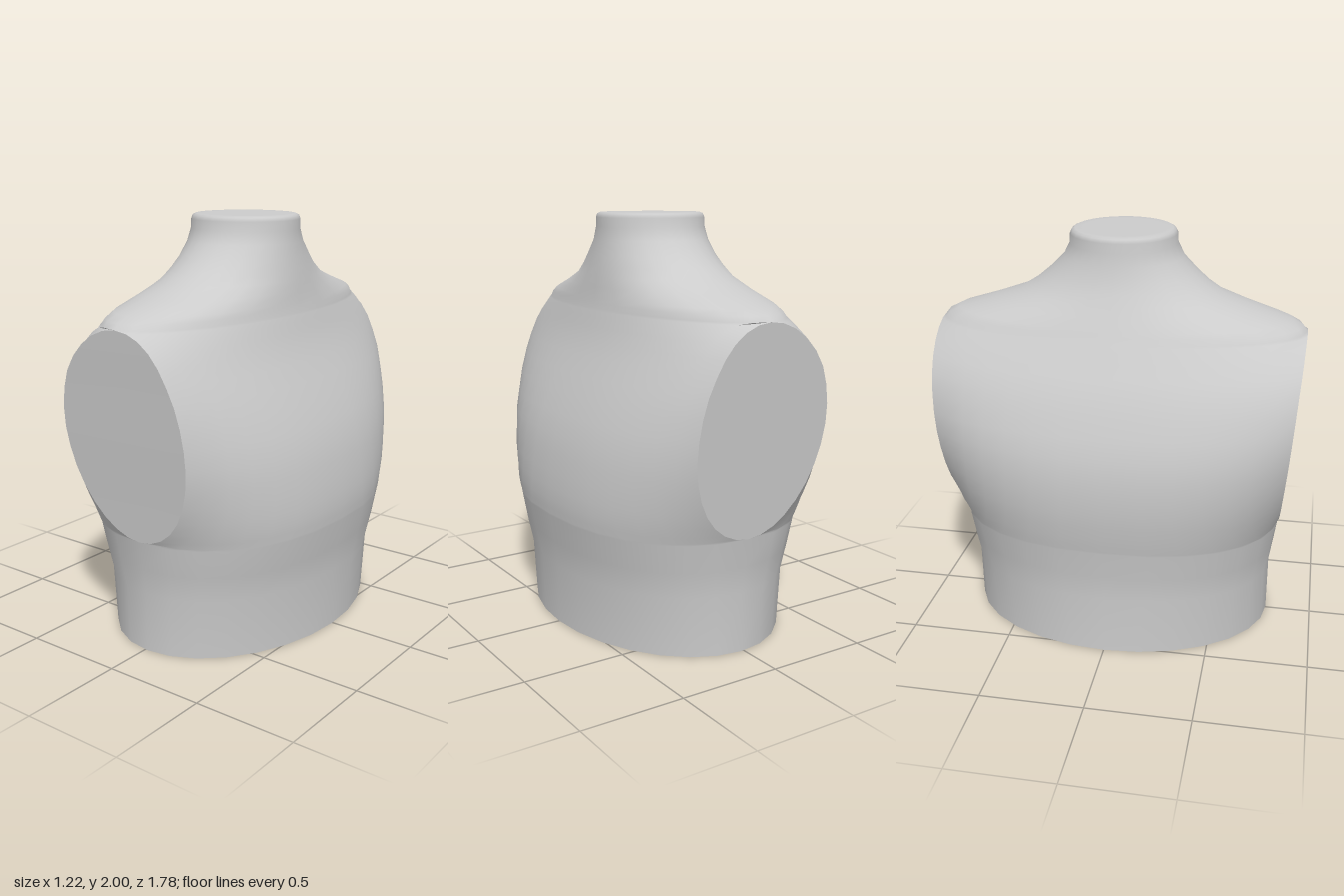
import * as THREE from 'three';
import { mergeVertices } from 'three/addons/utils/BufferGeometryUtils.js';

// Body profile: [y, xMin, xMax, half depth in z]
const PROFILE = [
  [0, -0.54, 0.565, 0.77], [0.29, -0.535, 0.565, 0.77], [0.42, -0.55, 0.585, 0.79],
  [0.56, -0.57, 0.605, 0.81], [0.66, -0.59, 0.61, 0.818], [0.8, -0.61, 0.597, 0.829],
  [0.95, -0.612, 0.57, 0.842], [1.1, -0.592, 0.52, 0.854], [1.33, -0.51, 0.42, 0.872],
  [1.42, -0.462, 0.385, 0.88], [1.55, -0.395, 0.35, 0.89], [1.575, -0.382, 0.345, 0.87],
  [1.6, -0.37, 0.34, 0.82], [1.65, -0.345, 0.333, 0.65], [1.7, -0.32, 0.327, 0.5],
  [1.75, -0.297, 0.318, 0.42], [1.8, -0.275, 0.31, 0.36], [1.87, -0.257, 0.297, 0.29],
  [1.93, -0.247, 0.29, 0.26], [1.975, -0.245, 0.29, 0.257], [1.993, -0.24, 0.285, 0.248],
  [2, -0.225, 0.27, 0.234], [2, -0.19, 0.235, 0.2], [2, 0.021, 0.023, 0.001],
];

// Flat arm openings
const ARM = { y: 1.055, ry: 0.495, rx: 0.355, steps: 16 };
const STEPS = 14; // segments along each side of a ring

function sample(y) {
  let i = 0;
  while (i < PROFILE.length - 2 && PROFILE[i + 1][0] < y) i++;
  const a = PROFILE[i], b = PROFILE[i + 1];
  const t = (y - a[0]) / (b[0] - a[0]);
  return a.map((v, k) => THREE.MathUtils.lerp(v, b[k], t));
}

// Every ring from hem to neck, with extra rings across the arm openings
function makeRings() {
  const armRows = [];
  for (let k = 0; k <= ARM.steps; k++) {
    const a = (k / ARM.steps) * Math.PI;
    const row = sample(ARM.y - ARM.ry * Math.cos(a));
    row.push(k === 0 || k === ARM.steps ? 0 : ARM.rx * Math.sin(a));
    armRows.push(row);
  }
  const low = PROFILE.filter(r => r[0] < ARM.y - ARM.ry - 0.001);
  const high = PROFILE.filter(r => r[0] > ARM.y + ARM.ry + 0.001);
  const toRing = ([y, x0, x1, z, w = 0]) => ({ y, cx: (x0 + x1) / 2, h: (x1 - x0) / 2, z, w });
  return { all: [...low, ...armRows, ...high].map(toRing), arm: armRows.map(toRing) };
}

function geometryFrom(positions, index) {
  const g = new THREE.BufferGeometry();
  g.setAttribute('position', new THREE.Float32BufferAttribute(positions, 3));
  g.setIndex(index);
  return g;
}

// Rounded sections, cut off where they meet the arm openings
function makeShell(rings) {
  const positions = [], index = [];
  const n = 2 * (STEPS + 1);
  rings.forEach(({ y, cx, h, z, w }) => {
    const p = 2 + 0.35 * (1 - THREE.MathUtils.smoothstep(y, 1.1, 1.6))
      * THREE.MathUtils.smoothstep(y, 0, 0.6);
    const ratio = Math.min(w / h, 0.95);
    const reach = z / Math.pow(1 - Math.pow(ratio, p), 1 / p);
    const end = Math.acos(Math.pow(ratio, p / 2));
    for (const side of [1, -1]) {
      for (let i = 0; i <= STEPS; i++) {
        const t = side * end * (2 * i / STEPS - 1);
        const x = h * Math.pow(Math.max(Math.cos(t), 0), 2 / p);
        const depth = reach * Math.sign(t) * Math.pow(Math.abs(Math.sin(t)), 2 / p);
        positions.push(cx + side * (x < 1e-5 ? 0 : x), y, depth);
      }
    }
  });
  for (let j = 0; j < rings.length - 1; j++) {
    for (let i = 0; i < n; i++) {
      if (i % (STEPS + 1) === STEPS) continue; // left open for the arm caps
      const a = j * n + i, b = a + 1, c = a + n, d = b + n;
      index.push(a, c, b, b, c, d);
    }
  }
  const g = mergeVertices(geometryFrom(positions, index), 1e-4);
  g.computeVertexNormals();
  return g;
}

// Flat oval panel closing one arm opening
function makeArmCap(rings, side) {
  const positions = [], index = [];
  rings.forEach(({ y, cx, z, w }, j) => {
    positions.push(cx - side * w, y, side * z, cx + side * w, y, side * z);
    if (j > 0) {
      const a = 2 * (j - 1);
      index.push(a, a + 1, a + 3, a, a + 3, a + 2);
    }
  });
  const g = geometryFrom(positions, index);
  g.computeVertexNormals();
  return g;
}

export function createModel() {
  const group = new THREE.Group();
  group.name = 'torsoForm';
  const material = new THREE.MeshStandardMaterial({ color: 0xcccccc, side: THREE.DoubleSide });
  const add = (name, geometry) => {
    const mesh = new THREE.Mesh(geometry, material);
    mesh.name = name;
    group.add(mesh);
  };
  const rings = makeRings();
  add('torsoAndNeck', makeShell(rings.all));
  add('frontArmCap', makeArmCap(rings.arm, 1));
  add('backArmCap', makeArmCap(rings.arm, -1));
  return group;
}
